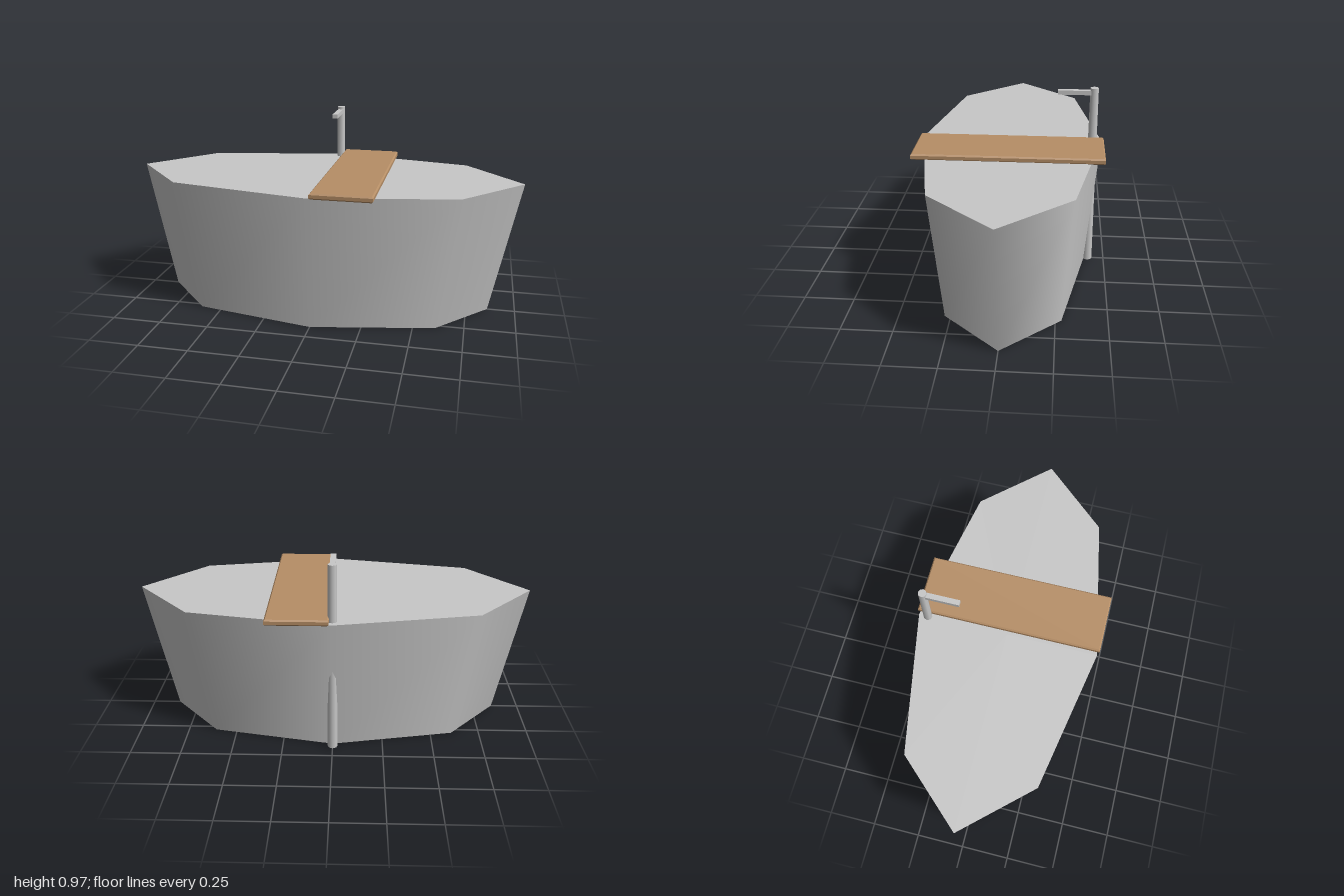
import * as THREE from 'three';

export function createModel() {
  const model = new THREE.Group();
  const paleGrey = new THREE.MeshStandardMaterial({ color: 0xc8c8c8 });
  paleGrey.name = 'pale grey';
  const wood = new THREE.MeshStandardMaterial({ color: 0xb68e66 });
  wood.name = 'wood';

  const add = (name, geometry, material, x, y, z, parent = model) => {
    const mesh = new THREE.Mesh(geometry, material);
    mesh.name = name;
    mesh.position.set(x, y, z);
    parent.add(mesh);
    return mesh;
  };

  // Tub: eight-sided, smooth-shaded, flared upwards and squashed in depth
  const tubHeight = 0.685;
  const tub = new THREE.CylinderGeometry(1, 0.86, tubHeight, 8);
  tub.scale(1, 1, 0.459);
  add('tub', tub, paleGrey, 0, tubHeight / 2, 0);

  // Tray board across the rim, with a small chamfer all round
  const bevel = 0.007, width = 0.3, depth = 0.936, thickness = 0.03;
  const hw = width / 2 - bevel, hd = depth / 2 - bevel;
  const outline = new THREE.Shape([
    new THREE.Vector2(-hw, -hd), new THREE.Vector2(hw, -hd),
    new THREE.Vector2(hw, hd), new THREE.Vector2(-hw, hd),
  ]);
  const board = new THREE.ExtrudeGeometry(outline, {
    depth: thickness - 2 * bevel, bevelEnabled: true,
    bevelThickness: bevel, bevelSize: bevel, bevelSegments: 1,
  });
  board.translate(0, 0, bevel - thickness / 2);
  board.rotateX(-Math.PI / 2);
  add('trayBoard', board, wood, 0.166, 0.697, 0);

  // Floor-standing tap: slightly tapered column and a straight spout
  const tap = new THREE.Group();
  tap.name = 'tap';
  tap.position.set(0, 0, -0.412);
  model.add(tap);
  add('tapColumn', new THREE.CylinderGeometry(0.021, 0.025, 0.966, 8), paleGrey, 0, 0.483, 0, tap);
  add('tapSpout', new THREE.BoxGeometry(0.027, 0.022, 0.18), paleGrey, 0, 0.942, 0.092, tap);

  return model;
}
